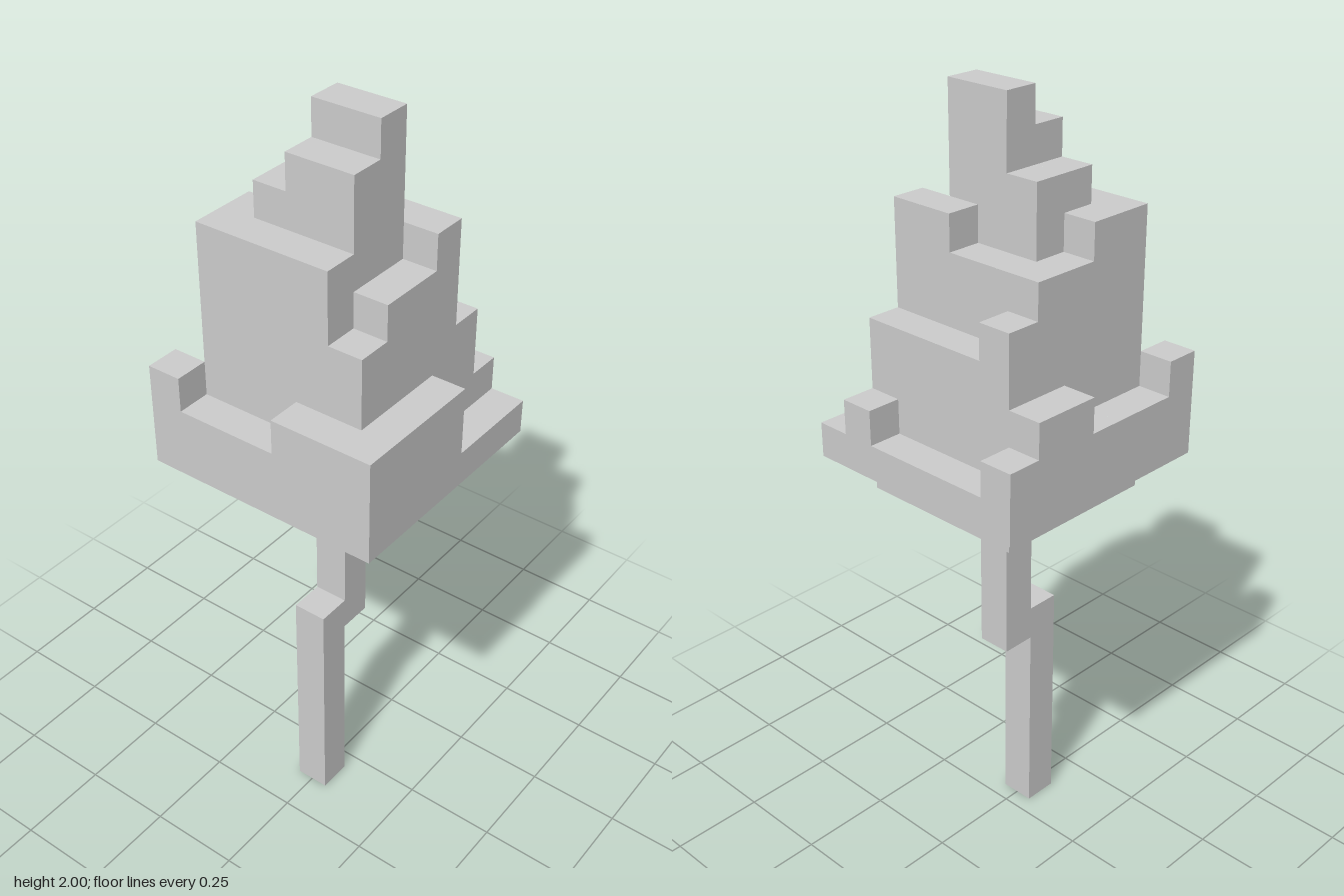
import * as THREE from 'three';
import { mergeGeometries } from 'three/addons/utils/BufferGeometryUtils.js';

const U = 2 / 22; // edge of one block
const DIRS = [[1, 0, 0], [-1, 0, 0], [0, 1, 0], [0, -1, 0], [0, 0, 1], [0, 0, -1]];

// Top height of each foliage column, in blocks: rows run back to front, columns run -x to +x
const TOPS = [
  [14, 13, 13, 13, 13, 14, 13],
  [15, 17, 16, 16, 16, 16, 13],
  [15, 18, 18, 18, 19, 19, 13],
  [14, 18, 20, 22, 22, 18, 15],
  [14, 19, 20, 21, 21, 18, 15],
  [14, 19, 19, 19, 19, 17, 15],
  [15, 14, 14, 14, 15, 15, 15],
];

// Outer skin of all blocks for which filled(column, level, row) is true
function blockMesh(name, filled, material) {
  const faces = [];
  for (let i = 0; i < 7; i++) for (let j = 0; j < 22; j++) for (let k = 0; k < 7; k++) {
    if (!filled(i, j, k)) continue;
    for (const [x, y, z] of DIRS) {
      if (filled(i + x, j + y, k + z)) continue;
      const face = new THREE.PlaneGeometry(U, U);
      face.lookAt(new THREE.Vector3(x, y, z));
      face.translate((i - 3 + x / 2) * U, (j + 0.5 + y / 2) * U, (k - 3 + z / 2) * U);
      faces.push(face);
    }
  }
  const mesh = new THREE.Mesh(mergeGeometries(faces), material);
  mesh.name = name;
  return mesh;
}

// Trunk: a lower post at the front, stepping back into the upper post
const inTrunk = (i, j, k) =>
  i === 3 && ((k === 4 && j >= 0 && j < 7) || (k === 3 && j >= 6 && j < 11));

// Foliage: a 5 x 5 underside layer, then the stepped columns
function inFoliage(i, j, k) {
  if (j === 11) return i >= 1 && i <= 5 && k >= 1 && k <= 5;
  const top = TOPS[k]?.[i] ?? 0;
  return j >= 12 && j < top;
}

export function createModel() {
  const material = new THREE.MeshStandardMaterial({ color: 0xcccccc, flatShading: true });
  const tree = new THREE.Group();
  tree.name = 'blockTree';
  tree.add(blockMesh('trunk', inTrunk, material));
  tree.add(blockMesh('foliage', inFoliage, material));
  return tree;
}
